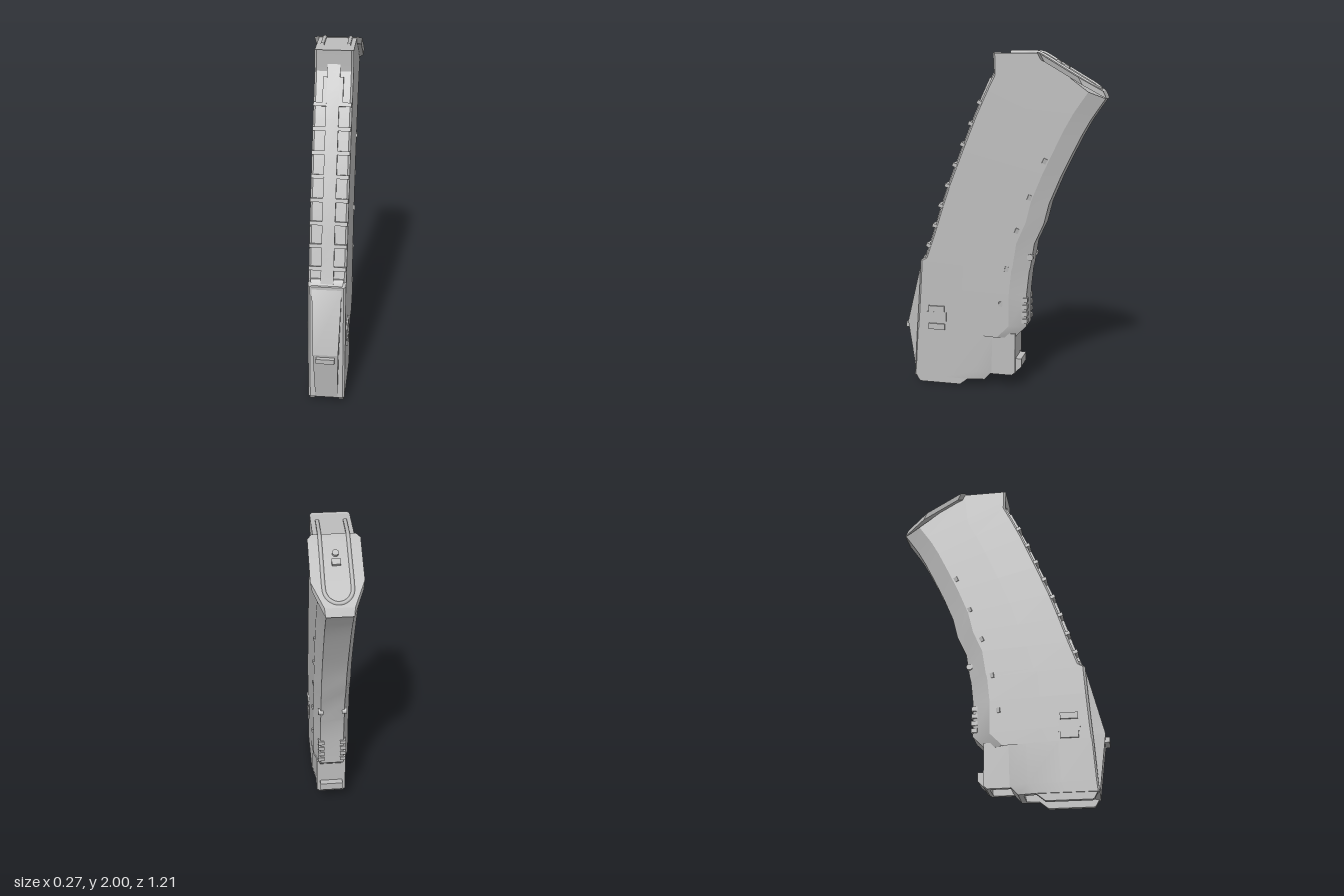
import * as THREE from 'three';
import { toCreasedNormals } from 'three/addons/utils/BufferGeometryUtils.js';

const grey = new THREE.MeshStandardMaterial({ color: 0xbcbcbc });
grey.name = 'plain grey';

// Mirrors a half outline (front to back, +x side) into a closed ring
const ring = half => [...half, ...half.map(([x, y, z]) => [-x, y, z]).reverse()];

// Skins a list of rings ordered upwards and caps both ends
function loft(rings, crease = 0.35) {
  const pos = [];
  const quad = (a, b, c, d) => pos.push(...a, ...b, ...c, ...a, ...c, ...d);
  const n = rings[0].length;
  for (let k = 0; k < rings.length - 1; k++) {
    for (let i = 0; i < n; i++) {
      const j = (i + 1) % n;
      quad(rings[k][i], rings[k][j], rings[k + 1][j], rings[k + 1][i]);
    }
  }
  const first = rings[0], last = rings[rings.length - 1];
  for (let i = 0; i < n / 2 - 1; i++) {
    quad(last[i], last[i + 1], last[n - 2 - i], last[n - 1 - i]);
    quad(first[n - 1 - i], first[n - 2 - i], first[i + 1], first[i]);
  }
  const geo = new THREE.BufferGeometry();
  geo.setAttribute('position', new THREE.Float32BufferAttribute(pos, 3));
  return toCreasedNormals(geo, crease);
}

// Extrudes a side profile of [z, y] points across x0..x1
function sideExtrude(points, x0, x1) {
  const shape = new THREE.Shape(points.map(([z, y]) => new THREE.Vector2(-z, y)));
  const geo = new THREE.ExtrudeGeometry(shape, { depth: x1 - x0, bevelEnabled: false });
  return geo.rotateY(Math.PI / 2).translate(x0, 0, 0);
}

// Front curve and back curve as [z, y]
const front = [[0.48, 0.78], [0.43, 0.92], [0.38, 1.08], [0.325, 1.24], [0.25, 1.43],
  [0.165, 1.64], [0.1, 1.78], [0.055, 1.87]];
const back = [[-0.178, 0.75], [-0.2, 0.89], [-0.255, 1.01], [-0.285, 1.13], [-0.35, 1.285],
  [-0.425, 1.44], [-0.47, 1.53], [-0.515, 1.61]];

// Position and lean of a curve at height y
function at(curve, y) {
  let i = 0;
  while (i < curve.length - 2 && y > curve[i + 1][1]) i++;
  const [z0, y0] = curve[i], [z1, y1] = curve[i + 1];
  const slope = (z1 - z0) / (y1 - y0);
  return { z: z0 + slope * (y - y0), lean: Math.atan(slope) };
}

// Body cross-section from front point to back point, chamfered at the rear
function section(fz, fy, bz, by, { w = 0.107, bw = 0.07, lift = 0 } = {}) {
  const p = (x, t, up = 0) => [x, fy + (by - fy) * t + up, fz + (bz - fz) * t];
  const chamfer = 1 - 0.1 / Math.hypot(fz - bz, fy - by);
  return ring([p(w - 0.012, 0), p(w, 0.02), p(w, 0.41, lift), p(w, chamfer), p(bw, 1)]);
}

export function createModel() {
  const model = new THREE.Group();
  const add = (name, geo, x = 0, y = 0, z = 0, rx = 0, ry = 0) => {
    const m = new THREE.Mesh(geo, grey);
    m.name = name;
    m.position.set(x, y, z);
    m.rotation.set(rx, ry, 0);
    model.add(m);
    return m;
  };
  const box = (name, w, h, d, ...rest) => add(name, new THREE.BoxGeometry(w, h, d), ...rest);

  // Curved body with an open, hollow lower end
  const inner = { w: 0.078, bw: 0.06 };
  add('body', loft([
    section(0.49, 0.3, 0.085, 0.3, inner),
    section(0.51, 0.04, 0.13, 0.04, inner),
    section(0.54, 0.04, 0.1, 0.04, { bw: 0.09 }),
    section(0.535, 0.1, 0.055, 0.09, { bw: 0.09 }),
    section(0.52, 0.33, 0.05, 0.325, { bw: 0.09 }),
    section(0.519, 0.34, -0.08, 0.31),
    section(0.513, 0.42, -0.155, 0.385),
    section(0.5, 0.6, -0.155, 0.58),
    section(0.49, 0.765, -0.17, 0.72),
    ...front.map(([z, y], i) => section(z - 0.02, y, ...back[i])),
    section(0.036, 1.91, -0.545, 1.655),
    section(0.04, 1.99, -0.6, 1.735, { lift: 0.1 }),
  ]));

  // Raised centre spine and cross ribs on the front
  add('frontSpine', loft([...front, [0.036, 1.91]].map(([z, y]) =>
    ring([[0.036, y, z], [0.036, y, z - 0.04]]))));
  for (const s of [-1, 1]) {
    for (let i = 0; i < 8; i++) {
      const y = 0.855 + i * 0.1215, { z, lean } = at(front, y);
      box('frontRib', 0.071, 0.022, 0.04, s * 0.0695, y, z - 0.021, lean);
    }
    // Rails joining the ribs to the spine at the upper end
    const top = at(front, 1.78);
    box('upperRail', 0.022, 0.14, 0.03, s * 0.045, 1.78, top.z - 0.016, top.lean);
  }

  // Thick lower front ridge with its small catch
  add('lowerRidge', loft([
    [0.04, 0.065, 0.54, 0.515], [0.37, 0.072, 0.585, 0.505],
    [0.76, 0.085, 0.488, 0.45], [0.8, 0.095, 0.462, 0.42],
  ].map(([y, w, f, b]) => ring([[w, y, f], [w, y, b]]))));
  box('ridgeCatch', 0.105, 0.03, 0.04, 0, 0.34, 0.586);

  // Sloping end plate
  const plateY = z => 1.992 - Math.max(0, -0.22 - z) * 0.59;
  const outline = [[0.113, -0.215], [0.137, -0.24], [0.137, -0.455], [0.076, -0.585]];
  add('endPlate', loft([
    ring(outline.map(([x, z]) => [x * 0.95, plateY(z) - 0.042, z - 0.02])),
    ring(outline.map(([x, z]) => [x, plateY(z), z])),
  ], 0.2));

  // U-shaped ridge on the end plate
  const path = [];
  const onTop = (x, z) => path.push(new THREE.Vector3(x, plateY(z) - 0.002, z));
  for (const z of [-0.06, -0.14, -0.21, -0.23, -0.35, -0.48]) onTop(0.073, z);
  for (let i = 1; i < 12; i++) {
    const a = Math.PI * i / 12;
    onTop(0.073 * Math.cos(a), -0.49 - 0.073 * Math.sin(a));
  }
  for (const z of [-0.48, -0.35, -0.23, -0.21, -0.14, -0.06]) onTop(-0.073, z);
  add('plateRidge', new THREE.TubeGeometry(new THREE.CatmullRomCurve3(path), 80, 0.011, 6));
  const tilt = -Math.atan(0.59);
  box('plateTab', 0.045, 0.03, 0.035, 0, plateY(-0.365), -0.365, tilt);
  add('plateButton', new THREE.CylinderGeometry(0.017, 0.017, 0.03, 16), 0, plateY(-0.32), -0.32, tilt);

  // Rear lug: two cheeks, a back wall and a hooked foot
  const cheek = [[0.07, 0.34], [0.06, 0.08], [-0.07, 0.08], [-0.09, 0.1], [-0.09, 0.34]];
  box('lugWall', 0.16, 0.25, 0.03, 0, 0.215, -0.074);
  add('lugHook', sideExtrude([[-0.055, 0.08], [-0.075, 0.08], [-0.125, 0.13],
    [-0.125, 0.18], [-0.085, 0.18]], -0.07, 0.07));

  // Window frame lying on the rear chamfer
  const frame = new THREE.Shape([[-0.045, -0.055], [0.045, -0.055], [0.045, 0.055], [-0.045, 0.055]]
    .map(p => new THREE.Vector2(...p)));
  frame.holes.push(new THREE.Path([[-0.036, -0.046], [-0.036, 0.046], [0.036, 0.046], [0.036, -0.046]]
    .map(p => new THREE.Vector2(...p))));
  const frameGeo = new THREE.ExtrudeGeometry(frame, { depth: 0.008, bevelEnabled: false })
    .translate(0, 0, -0.004).rotateY(Math.PI / 2);
  const windows = [[-0.055, 0.51], [-0.09, 0.72], [-0.145, 0.94], [-0.22, 1.14], [-0.305, 1.35]];

  for (const s of [-1, 1]) {
    const span = (a, b) => s > 0 ? [a, b] : [-b, -a];
    add('lugCheek', sideExtrude(cheek, ...span(0.065, 0.09)));

    // Feed lip under the open end
    add('feedLip', sideExtrude([[0.535, 0.05], [0.51, 0.005], [0.5, 0], [0.25, 0], [0.2, 0.04], [0.2, 0.05]],
      ...span(0.07, 0.1)));

    // Windows with a small tab and row of dashes
    for (const [z, y] of windows) {
      const unit = new THREE.Group();
      unit.name = 'sideWindow';
      const part = (name, geo, py, pz) => {
        const m = new THREE.Mesh(geo, grey);
        m.name = name;
        m.position.set(0, py, pz);
        unit.add(m);
      };
      part('windowFrame', frameGeo, 0, 0);
      part('windowTab', new THREE.BoxGeometry(0.012, 0.03, 0.03), 0.01, 0.05);
      for (let i = 0; i < 4; i++) {
        part('windowDash', new THREE.BoxGeometry(0.008, 0.006, 0.008), 0.1, -0.025 + i * 0.016);
      }
      const rear = at(back, Math.max(y, 0.75));
      unit.position.set(s * 0.087, y, z);
      unit.rotation.set(y < 0.6 ? -0.08 : rear.lean, s * 0.337, 0);
      model.add(unit);
    }

    // Side catch: upper and lower ridges around a shallow plate
    box('catchPlate', 0.01, 0.07, 0.12, s * 0.106, 0.415, 0.39);
    for (const y of [0.36, 0.47]) {
      box('catchRidge', 0.02, 0.036, 0.1, s * 0.107, y, 0.39);
    }

    // Grip teeth and stud on the rear corners
    for (let i = 0; i < 4; i++) {
      box('rearTooth', 0.035, 0.026, 0.035, s * 0.066, 0.42 + i * 0.043, -0.145);
    }
    const stud = new THREE.CylinderGeometry(0.019, 0.019, 0.03, 14).rotateZ(Math.PI / 2);
    add('rearStud', stud, s * 0.07, 0.81, -0.178);
  }
  return model;
}
